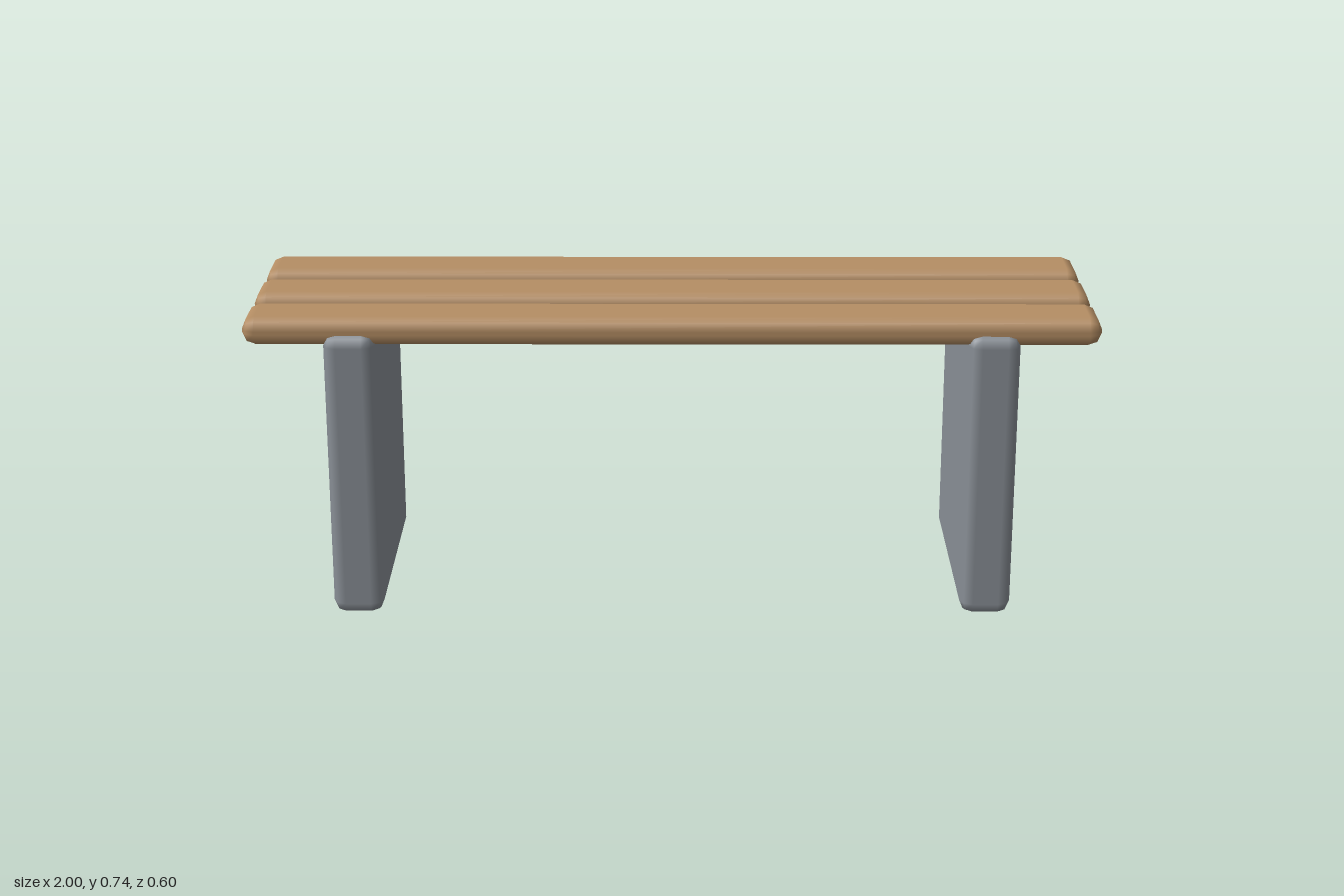
import * as THREE from 'three';
import { RoundedBoxGeometry } from 'three/addons/geometries/RoundedBoxGeometry.js';

const BEVEL = 0.03;

// Bevelled block placed by its centre
function block(name, material, size, position) {
  const mesh = new THREE.Mesh(new RoundedBoxGeometry(...size, 1, BEVEL), material);
  mesh.name = name;
  mesh.position.set(...position);
  return mesh;
}

export function createModel() {
  const wood = new THREE.MeshStandardMaterial({ name: 'wood', color: 0xb58e64 });
  const concrete = new THREE.MeshStandardMaterial({ name: 'concrete', color: 0x8a9097 });

  const bench = new THREE.Group();
  bench.name = 'bench';

  // Three seat slats running the full length
  const slats = { backSlat: -0.2, middleSlat: 0, frontSlat: 0.2 };
  for (const [name, z] of Object.entries(slats)) {
    bench.add(block(name, wood, [2, 0.068, 0.16], [0, 0.701, z]));
  }

  // Two slab legs, let into the underside of the slats
  for (const side of [1, -1]) {
    const name = side > 0 ? 'leftLeg' : 'rightLeg';
    bench.add(block(name, concrete, [0.12, 0.7, 0.6], [side * 0.75, 0.35, 0]));
  }

  return bench;
}
